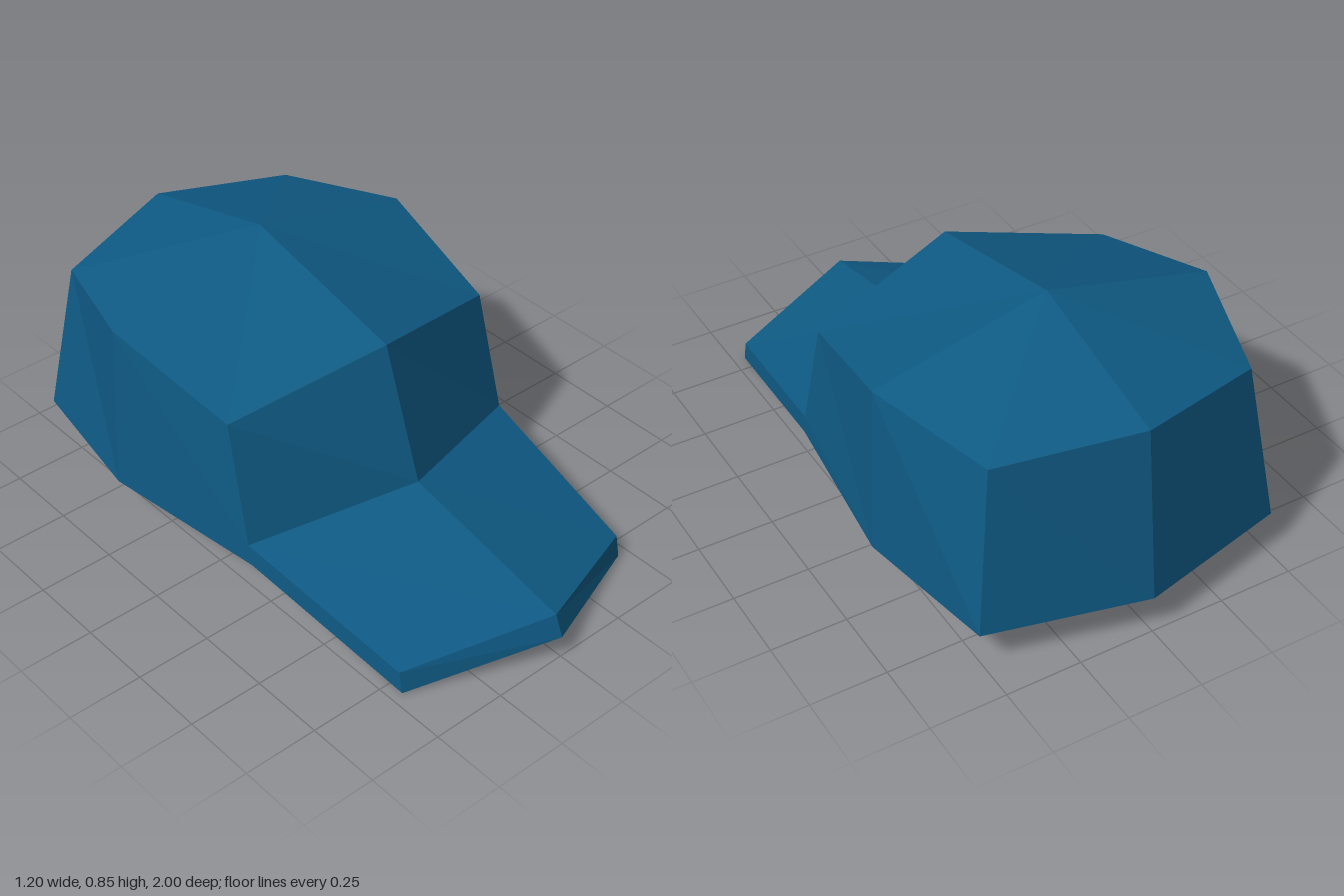
import * as THREE from 'three';

const capBlue = new THREE.MeshStandardMaterial({ color: 0x0f5a84 });
capBlue.name = 'capBlue';

// Faceted mesh from polygons, each a fan of corners in counter-clockwise order
function facetedMesh(name, faces) {
  const positions = [];
  for (const f of faces) {
    for (let i = 1; i < f.length - 1; i++) positions.push(...f[0], ...f[i], ...f[i + 1]);
  }
  const geometry = new THREE.BufferGeometry();
  geometry.setAttribute('position', new THREE.Float32BufferAttribute(positions, 3));
  geometry.computeVertexNormals();
  const mesh = new THREE.Mesh(geometry, capBlue);
  mesh.name = name;
  return mesh;
}

const mirror = ([x, y, z]) => [-x, y, z];

// Full eight-point ring from its left half, front centre to back centre
const ring = (half) => [...half, ...half.slice(1, -1).reverse().map(mirror)];

// Brim outline: top root, top tip, bottom tip, bottom root
const brimCentre = [[0, 0.28, 0.365], [0, 0.15, 0.97], [0, 0.08, 1.0], [0, 0.21, 0.395]];
const brimSide = [[0.53, 0.205, 0.185], [0.46, 0.075, 0.79], [0.46, 0.003, 0.805], [0.53, 0.135, 0.2]];

function createCrown() {
  const apex = [0, 0.855, -0.385];
  const upper = ring([
    [0, 0.715, 0.21], [0.515, 0.6, 0.085], [0.58, 0.715, -0.385], [0.445, 0.67, -0.8], [0, 0.715, -0.93],
  ]);
  const rim = [[0.6, 0.135, -0.39], [0.515, 0.135, -0.875], [0, 0.135, -1]];
  const lower = ring([brimCentre[0], brimSide[0], ...rim]);
  const base = ring([brimCentre[3], brimSide[3], ...rim]);

  const faces = [];
  for (let i = 0; i < 8; i++) {
    const j = (i + 1) % 8;
    faces.push([apex, upper[i], upper[j]]); // top panel
    faces.push([upper[i], lower[i], lower[j], upper[j]]); // side panel
  }
  // Narrow corners beside the brim root
  faces.push([lower[1], base[1], base[2]], [lower[7], base[6], base[7]]);
  // Closed underside
  faces.push([base[0], ...base.slice(1).reverse()]);
  return facetedMesh('crown', faces);
}

function createBrim() {
  const sections = [brimSide.map(mirror), brimCentre, brimSide];
  const faces = [];
  for (let s = 0; s < 2; s++) {
    const a = sections[s], b = sections[s + 1];
    // Top, front edge and underside
    for (let k = 0; k < 3; k++) faces.push([a[k], a[k + 1], b[k + 1], b[k]]);
  }
  // Side edges
  faces.push(sections[2], [...sections[0]].reverse());
  return facetedMesh('brim', faces);
}

export function createModel() {
  const cap = new THREE.Group();
  cap.name = 'cap';
  cap.add(createCrown(), createBrim());
  return cap;
}
